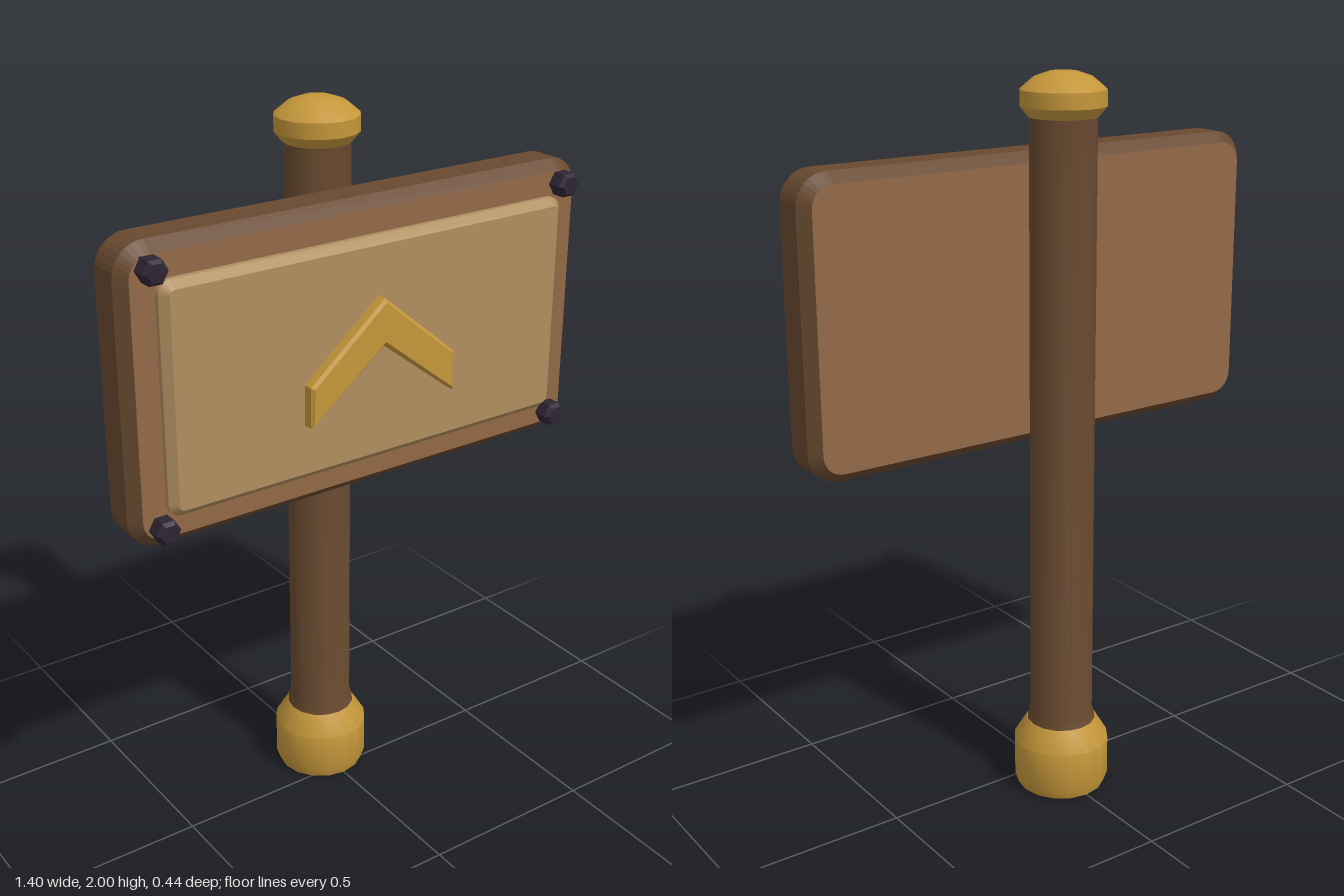
import * as THREE from 'three';
import { toCreasedNormals } from 'three/addons/utils/BufferGeometryUtils.js';

const mat = (name, color) => {
  const m = new THREE.MeshStandardMaterial({ color });
  m.name = name;
  return m;
};

// Rounded rectangle centred on the origin
function roundedRect(w, h, r) {
  const s = new THREE.Shape(), x = w / 2, y = h / 2, q = Math.PI / 2;
  s.absarc(x - r, y - r, r, 0, q);
  s.absarc(-x + r, y - r, r, q, 2 * q);
  s.absarc(-x + r, -y + r, r, 2 * q, 3 * q);
  s.absarc(x - r, -y + r, r, 3 * q, 4 * q);
  s.closePath();
  return s;
}

// Bevelled plate whose shape is the full outline, running from z0 to z1
function plate(shape, z0, z1, bevel, bevelDepth) {
  const g = new THREE.ExtrudeGeometry(shape, {
    depth: z1 - z0 - 2 * bevelDepth, bevelEnabled: true, bevelSegments: 1,
    bevelSize: bevel, bevelThickness: bevelDepth, bevelOffset: -bevel, curveSegments: 4,
  });
  return g.translate(0, 0, z0 + bevelDepth);
}

const lathe = (points) => toCreasedNormals(
  new THREE.LatheGeometry(points.map(([r, y]) => new THREE.Vector2(r, y)), 16), 0.55);

export function createModel() {
  const group = new THREE.Group();
  const darkWood = mat('dark wood', 0x68492f);
  const wood = mat('wood', 0x936847);
  const tan = mat('tan panel', 0xb08e5f);
  const gold = mat('gold', 0xc4963a);
  const iron = mat('dark iron', 0x2e2433);

  const add = (name, geometry, material, x = 0, y = 0, z = 0) => {
    const m = new THREE.Mesh(geometry, material);
    m.name = name;
    m.position.set(x, y, z);
    group.add(m);
    return m;
  };

  // Post with a flared foot, standing behind the board
  const postZ = -0.085;
  add('post', lathe([[0.098, 0.195], [0.088, 0.23], [0.088, 1.9]]), darkWood, 0, 0, postZ);
  add('postBase', lathe([[0, 0], [0.124, 0], [0.134, 0.03], [0.134, 0.14], [0.098, 0.2], [0, 0.2]]),
    gold, 0, 0, postZ);
  add('postCap', lathe([[0, 1.885], [0.09, 1.885], [0.112, 1.912], [0.112, 1.953],
    [0.075, 1.984], [0.037, 1.997], [0, 2]]), gold, 0, 0, postZ);

  // Board: lighter faces, dark bevelled rim
  const boardY = 1.397;
  add('board', plate(roundedRect(1.4, 0.785, 0.085), 0, 0.145, 0.028, 0.03), [wood, darkWood], 0, boardY);

  // Raised front panel
  add('panel', plate(roundedRect(1.22, 0.605, 0.035), 0.13, 0.184, 0.02, 0.02), tan, 0, boardY);

  // Upward chevron
  const chevron = new THREE.Shape([[0, 1.55], [-0.224, 1.36], [-0.224, 1.25], [0, 1.425],
    [0.224, 1.25], [0.224, 1.36]].map(([x, y]) => new THREE.Vector2(x, y)));
  add('chevron', plate(chevron, 0.17, 0.219, 0.008, 0.008), gold);

  // Hexagonal corner bolts
  const hex = new THREE.Shape(Array.from({ length: 6 }, (_, i) => {
    const a = i * Math.PI / 3;
    return new THREE.Vector2(0.035 * Math.cos(a), 0.035 * Math.sin(a));
  }));
  const boltGeometry = plate(hex, 0.13, 0.192, 0.008, 0.01);
  for (const x of [-0.623, 0.623])
    for (const y of [1.066, 1.729]) add('bolt', boltGeometry, iron, x, y);

  return group;
}
